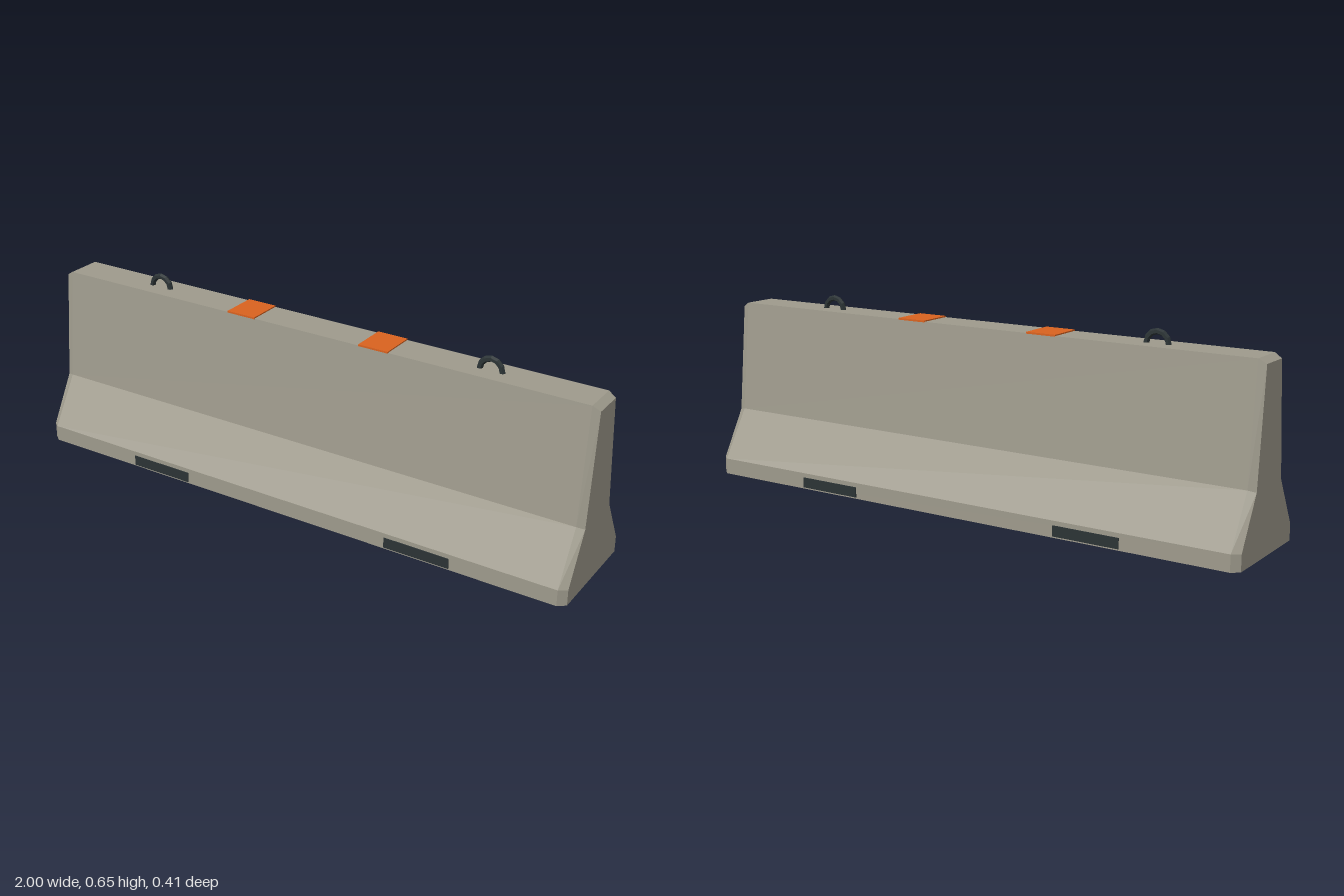
import * as THREE from 'three';

const mat = (name, color) => {
  const m = new THREE.MeshStandardMaterial({ color });
  m.name = name;
  return m;
};

// Barrier body: lofts the half profile along x, with tapered ends.
function barrierGeometry() {
  const half = [[0.2, 0], [0.2, 0.055], [0.1, 0.22], [0.06, 0.6]];
  const outline = [...half, ...half.map(([z, y]) => [-z, y]).reverse()];
  const sections = [[-1, 0.9, 0.975], [-0.975, 1, 1], [0.975, 1, 1], [1, 0.9, 0.975]];
  const rings = sections.map(([x, sz, sy]) => outline.map(([z, y]) => [x, y * sy, z * sz]));
  const n = outline.length;
  const pos = [];
  const quad = (a, b, c, d) => pos.push(...a, ...b, ...c, ...a, ...c, ...d);
  for (let s = 0; s < 3; s++) {
    for (let i = 0; i < n; i++) {
      const j = (i + 1) % n;
      quad(rings[s][i], rings[s + 1][i], rings[s + 1][j], rings[s][j]);
    }
  }
  // End caps, one band per profile step
  for (let i = 0; i < half.length - 1; i++) {
    const k = n - 1 - i;
    const l = rings[0], r = rings[3];
    quad(l[i], l[i + 1], l[k - 1], l[k]);
    quad(r[k], r[k - 1], r[i + 1], r[i]);
  }
  const g = new THREE.BufferGeometry();
  g.setAttribute('position', new THREE.Float32BufferAttribute(pos, 3));
  g.computeVertexNormals();
  return g;
}

export function createModel() {
  const concrete = mat('concrete', 0x9e9a8c);
  const steel = mat('dark steel', 0x2b3335);
  const orange = mat('orange marker', 0xd9621f);
  const group = new THREE.Group();
  group.name = 'roadBarrier';

  const add = (name, geometry, material, x, y, z) => {
    const mesh = new THREE.Mesh(geometry, material);
    mesh.name = name;
    mesh.position.set(x, y, z);
    group.add(mesh);
  };

  add('barrierBody', barrierGeometry(), concrete, 0, 0, 0);

  const loop = new THREE.TorusGeometry(0.0375, 0.01, 6, 6, Math.PI).toNonIndexed();
  loop.computeVertexNormals();
  const marker = new THREE.BoxGeometry(0.106, 0.006, 0.122);
  const slot = new THREE.BoxGeometry(0.23, 0.035, 0.008);

  for (const side of [-1, 1]) {
    add('liftingLoop', loop, steel, side * 0.625, 0.6, 0);
    add('topMarker', marker, orange, side * 0.25, 0.601, 0);
    // Drainage slots on both long faces
    for (const face of [-1, 1]) add('drainSlot', slot, steel, side * 0.5, 0.0225, face * 0.199);
  }
  return group;
}
